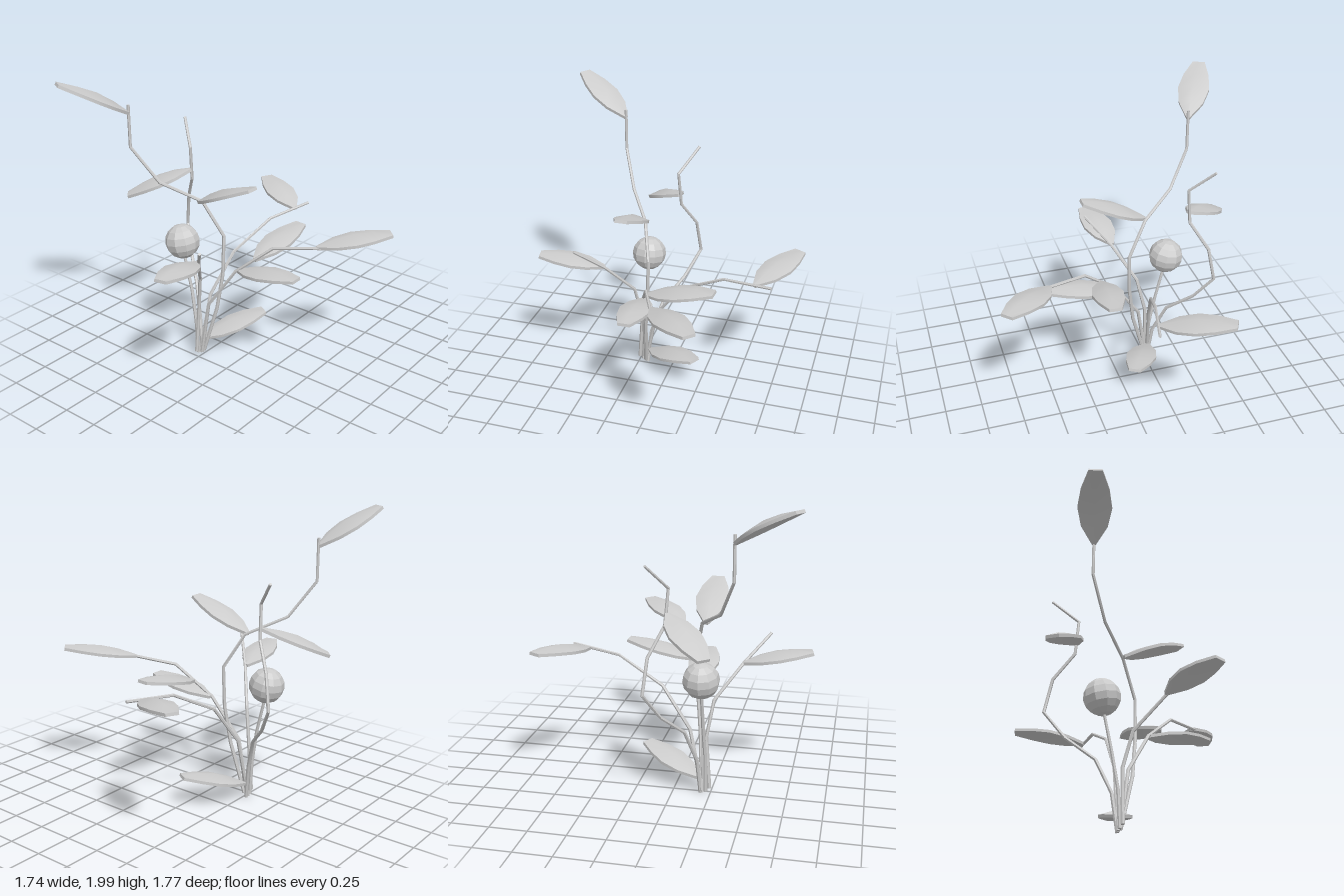
import * as THREE from 'three';
import { toCreasedNormals } from 'three/addons/utils/BufferGeometryUtils.js';

const V = (p) => new THREE.Vector3(...p);
const material = new THREE.MeshStandardMaterial({ color: 0xcccccc });

// Closed solid through a row of equal-sized cross-section loops
function loft(loops, crease) {
  const n = loops[0].length, last = (loops.length - 1) * n, index = [];
  for (let i = 0; i < loops.length - 1; i++) {
    for (let j = 0; j < n; j++) {
      const a = i * n + j, b = i * n + (j + 1) % n;
      index.push(a, b, b + n, a, b + n, a + n);
    }
  }
  for (let j = 1; j < n - 1; j++) {
    index.push(0, j + 1, j, last, last + j, last + j + 1);
  }
  const g = new THREE.BufferGeometry().setFromPoints(loops.flat());
  g.setIndex(index);
  return toCreasedNormals(g, crease);
}

// Thin six-sided stem with a kink at every point
function stemGeometry(path) {
  const pts = path.map(V), sides = 6, end = pts.length - 1;
  const loops = pts.map((p, i) => {
    const d = pts[Math.min(i + 1, end)].clone().sub(pts[Math.max(i - 1, 0)]).normalize();
    const u = new THREE.Vector3(0.3, 0, 1).addScaledVector(d, -d.dot(V([0.3, 0, 1]))).normalize();
    const v = d.clone().cross(u);
    const r = 0.013 - 0.003 * i / end;
    return Array.from({ length: sides }, (_, j) => {
      const a = j / sides * Math.PI * 2;
      return p.clone().addScaledVector(u, r * Math.cos(a)).addScaledVector(v, r * Math.sin(a));
    });
  });
  return loft(loops, 0.5);
}

// Domed leaf blade: the midrib arches up while the edges stay near the straight line
function leafGeometry(from, to) {
  const a = V(from), b = V(to);
  const dir = b.clone().sub(a).normalize();
  const side = dir.clone().cross(V([0, 1, 0])).normalize();
  const up = side.clone().cross(dir);
  const profile = [[0, 0.012], [0.25, 0.083], [0.5, 0.107], [0.75, 0.087], [1, 0.042]];
  const section = [[1, 0], [1, 1], [-1, 1], [-1, 0], [-1, -1], [1, -1]];
  const loops = profile.map(([t, w]) => section.map(([h, s]) => {
    const arch = (s === 0 ? 0.038 : 0.008) * Math.sin(Math.PI * t);
    return a.clone().lerp(b, t).addScaledVector(up, arch + 0.01 * h).addScaledVector(side, w * s);
  }));
  return loft(loops, 0.7);
}

export function createModel() {
  const group = new THREE.Group();
  const add = (name, geometry) => {
    const mesh = new THREE.Mesh(geometry, material);
    mesh.name = name;
    group.add(mesh);
    return mesh;
  };

  // Stems, from the ground up
  const stems = {
    tallStem: [[-0.25, 0.03, 0.19], [-0.15, 0.39, 0.16], [-0.115, 0.65, 0.135], [-0.11, 0.93, 0.125],
      [-0.24, 1.165, 0.185], [-0.47, 1.29, 0.34], [-0.62, 1.53, 0.44], [-0.62, 1.81, 0.44]],
    windingStem: [[-0.27, 0.005, 0.185], [-0.30, 0.25, 0.165], [-0.38, 0.47, 0.1], [-0.53, 0.62, -0.02],
      [-0.64, 0.80, -0.11], [-0.60, 1.03, -0.085], [-0.49, 1.21, 0.0], [-0.48, 1.44, 0.02], [-0.62, 1.6, -0.09]],
    frontStem: [[-0.27, 0.04, 0.245], [-0.26, 0.4, 0.22], [-0.21, 0.64, 0.26], [-0.07, 0.86, 0.43], [0.08, 1.03, 0.59]],
    leftStem: [[-0.26, 0.02, 0.2], [-0.2, 0.41, 0.19], [-0.01, 0.70, 0.13], [0.23, 0.905, 0.035], [0.54, 0.945, -0.095]],
    backStem: [[-0.275, 0.01, 0.2], [-0.25, 0.44, 0.11], [-0.197, 0.71, -0.085], [-0.117, 0.875, -0.4], [-0.03, 0.905, -0.74]],
    fruitStem: [[-0.275, 0.02, 0.22], [-0.29, 0.26, 0.22], [-0.33, 0.49, 0.21], [-0.4, 0.78, 0.21]],
  };
  for (const [name, path] of Object.entries(stems)) add(name, stemGeometry(path));

  // Leaves, from stalk to tip
  const leaves = {
    backLeaf: [[-0.06, 0.89, -0.62], [-0.49, 0.965, -0.85]],
    leftEndLeaf: [[0.49, 0.94, -0.08], [0.84, 1.015, -0.42]],
    leftBackLeaf: [[0.11, 0.80, 0.08], [0.145, 0.905, -0.40]],
    leftLowerLeaf: [[-0.01, 0.70, 0.11], [0.47, 0.775, 0.11]],
    tallStemLeaf: [[-0.25, 1.165, 0.21], [0.195, 1.36, 0.21]],
    baseLeaf: [[-0.27, 0.11, 0.17], [-0.04, 0.235, -0.23]],
    droopingLeaf: [[-0.485, 1.28, 0.01], [-0.81, 1.105, 0.3]],
    topLeaf: [[-0.62, 1.755, 0.44], [-0.835, 1.985, 0.82]],
    frontLeaf: [[-0.08, 0.86, 0.43], [0.01, 0.935, 0.87]],
  };
  for (const [name, [from, to]] of Object.entries(leaves)) add(name, leafGeometry(from, to));

  // Round faceted fruit, tilted along its stem
  const fruit = add('fruit', toCreasedNormals(new THREE.SphereGeometry(0.119, 10, 8), 0.1));
  fruit.position.set(-0.405, 0.84, 0.21);
  fruit.rotation.z = 0.2;
  return group;
}
